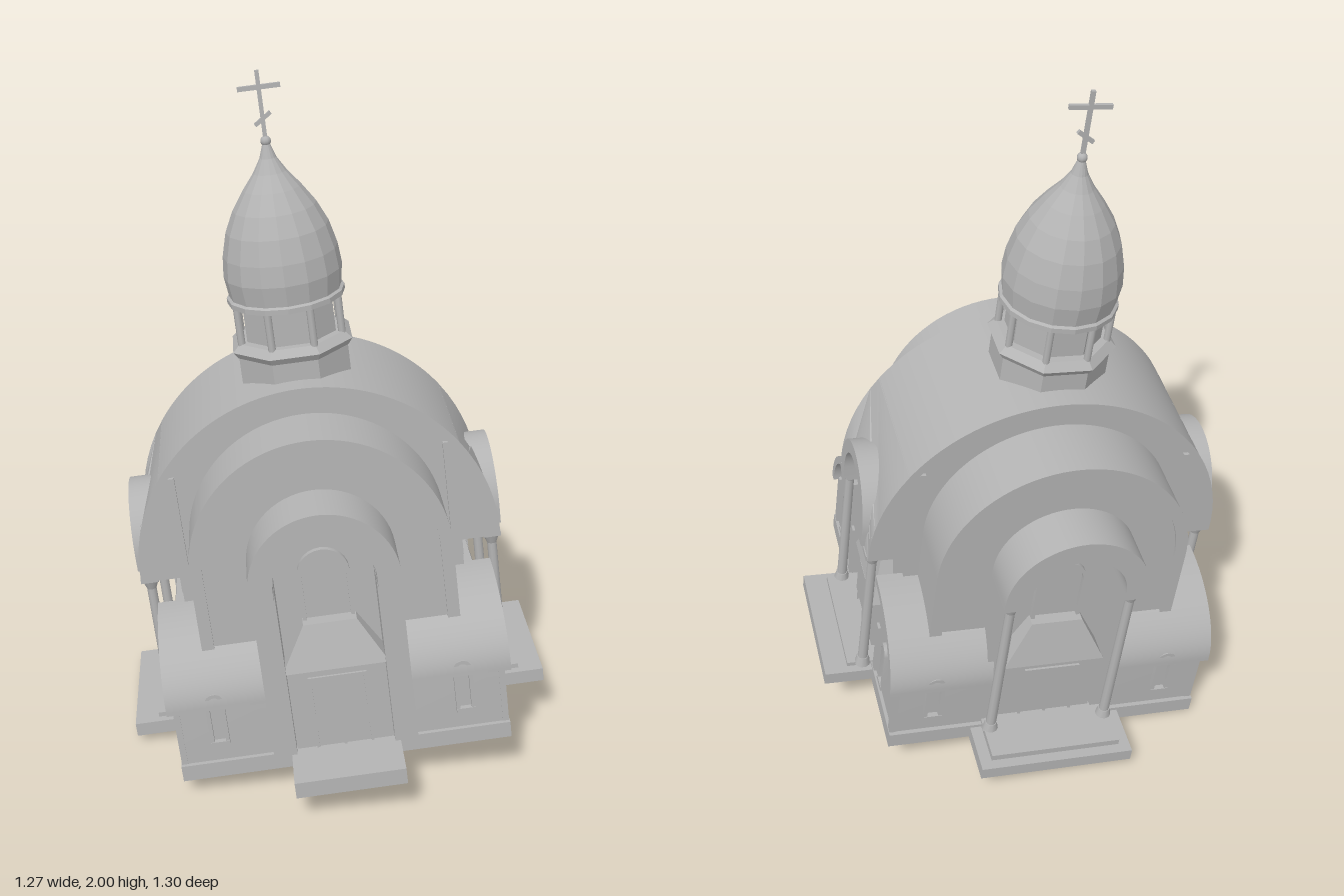
import * as THREE from 'three';
import { toCreasedNormals } from 'three/addons/utils/BufferGeometryUtils.js';

const stone = new THREE.MeshStandardMaterial({ color: 0xb3b3b3 });
stone.name = 'stone grey';

function add(parent, name, geometry, x = 0, y = 0, z = 0) {
  const mesh = new THREE.Mesh(geometry, stone);
  mesh.name = name;
  mesh.position.set(x, y, z);
  parent.add(mesh);
  return mesh;
}
// Box given by its lower and upper limits
function block(parent, name, x0, x1, y0, y1, z0, z1) {
  return add(parent, name, new THREE.BoxGeometry(x1 - x0, y1 - y0, z1 - z0),
    (x0 + x1) / 2, (y0 + y1) / 2, (z0 + z1) / 2);
}
function extrude(shape, z0, z1, segments = 16) {
  const g = new THREE.ExtrudeGeometry(shape, { depth: z1 - z0, bevelEnabled: false, curveSegments: segments });
  g.translate(0, 0, z0);
  return toCreasedNormals(g, 0.45);
}
// Round-headed wall outline: radius r, springing at yc, foot at y0
function archShape(r, yc, y0) {
  const s = new THREE.Shape();
  s.moveTo(-r, y0);
  s.lineTo(r, y0);
  s.lineTo(r, yc);
  s.absarc(0, yc, r, 0, Math.PI, false);
  s.closePath();
  return s;
}
// Horseshoe band with open foot
function bandShape(r, ri, yc, y0) {
  const s = new THREE.Shape();
  s.moveTo(ri, y0);
  s.lineTo(r, y0);
  s.lineTo(r, yc);
  s.absarc(0, yc, r, 0, Math.PI, false);
  s.lineTo(-r, y0);
  s.lineTo(-ri, y0);
  s.lineTo(-ri, yc);
  s.absarc(0, yc, ri, Math.PI, 0, true);
  s.closePath();
  return s;
}
// Narrow arched window facing +z: frame, sill and pane
function archWindow(parent, x, y, z, w, h) {
  const g = new THREE.Group();
  g.name = 'archedWindow';
  g.position.set(x, y, z);
  add(g, 'windowFrame', extrude(bandShape(w / 2, w / 2 - 0.011, h - w / 2, 0), -0.005, 0.016, 6));
  add(g, 'windowPane', extrude(archShape(w / 2 - 0.01, h - w / 2, 0), -0.004, 0.002, 6));
  block(g, 'windowSill', -w / 2, w / 2, -0.008, 0.006, -0.005, 0.018);
  parent.add(g);
}
function column(parent, x, z, y0, y1) {
  const h = y1 - y0;
  add(parent, 'columnShaft', new THREE.CylinderGeometry(0.014, 0.016, h, 10), x, y0 + h / 2, z);
  add(parent, 'columnCapital', new THREE.CylinderGeometry(0.026, 0.015, 0.03, 10), x, y1 - 0.025, z);
  block(parent, 'columnAbacus', x - 0.026, x + 0.026, y1 - 0.012, y1 + 0.004, z - 0.026, z + 0.026);
  add(parent, 'columnBase', new THREE.CylinderGeometry(0.018, 0.025, 0.03, 10), x, y0 + 0.015, z);
}
// Vestibule with door and sloping canopy on a wall at z = wall, plus the window above
function entrance(parent, wall, half, depth, y0, y1) {
  block(parent, 'vestibule', -half + 0.012, half - 0.012, 0.04, y0, wall - 0.02, wall + depth - 0.012);
  const canopy = new THREE.CylinderGeometry(half * 0.5 * Math.SQRT2, half * Math.SQRT2, y1 - y0, 4).toNonIndexed();
  canopy.rotateY(Math.PI / 4);
  canopy.scale(1, 1, depth / half);
  canopy.computeVertexNormals();
  add(parent, 'doorCanopy', canopy, 0, (y0 + y1) / 2, wall);
  const f = wall + depth - 0.012;
  for (const s of [-1, 0, 1]) block(parent, 'doorJamb', s * 0.08 - 0.004, s * 0.08 + 0.004, 0.05, y0 - 0.03, f, f + 0.007);
  block(parent, 'doorLintel', -0.085, 0.085, y0 - 0.035, y0 - 0.025, f, f + 0.007);
  archWindow(parent, 0, y1 - 0.02, wall, 0.15, 0.24);
}

export function createModel() {
  const root = new THREE.Group();
  root.name = 'chapel';
  const body = new THREE.Group();
  body.name = 'leaningChapel';
  body.rotation.set(-0.055, 0.028, 0.112);
  body.position.set(0.005, 0.078, 0);
  root.add(body);

  // Plinth and entrance platforms
  block(body, 'plinth', -0.485, 0.485, 0, 0.05, -0.485, 0.485);
  block(body, 'frontPlatform', -0.16, 0.16, 0, 0.05, 0.4, 0.642);
  block(body, 'backPlatform', -0.235, 0.235, 0, 0.04, -0.645, -0.4);
  block(body, 'backStep', -0.2, 0.2, 0.03, 0.06, -0.615, -0.4);

  // Main nave vault: core, front and back rims
  const R = 0.535, yc = 0.54, inner = 0.42;
  const a = Math.acos(inner / 0.52);
  const core = new THREE.Shape();
  core.moveTo(-inner, 0.03);
  core.lineTo(inner, 0.03);
  core.absarc(0, yc, 0.52, a, Math.PI - a, false);
  core.closePath();
  add(body, 'naveCore', extrude(core, -0.215, 0.215, 24));
  const shell = new THREE.Shape();
  const b = 0.61;
  shell.absarc(0, yc, R, b, Math.PI - b, false);
  shell.absarc(0, yc, 0.512, Math.PI - b, b, true);
  shell.closePath();
  add(body, 'naveVault', extrude(shell, -0.226, 0.226, 24));

  // Second tier vault
  add(body, 'innerWall', extrude(archShape(0.35, 0.617, 0.03), -0.4, 0.4, 20));
  add(body, 'innerVault', extrude(bandShape(0.376, 0.34, 0.617, 0.03), -0.408, 0.408, 20));

  // Front and back porch hoods
  add(body, 'frontHood', extrude(bandShape(0.213, 0.145, 0.627, 0.59), 0.36, 0.56));
  add(body, 'backHood', extrude(bandShape(0.213, 0.145, 0.627, 0.6), -0.545, -0.36));
  for (const s of [-1, 1]) {
    block(body, 'frontPier', s * 0.178 - 0.034, s * 0.178 + 0.034, 0.04, 0.6, 0.38, 0.5);
    block(body, 'backPier', s * 0.178 - 0.03, s * 0.178 + 0.03, 0.04, 0.61, -0.47, -0.38);
    column(body, s * 0.18, -0.505, 0.055, 0.6);
  }
  const front = new THREE.Group();
  front.name = 'frontEntrance';
  entrance(front, 0.4, 0.155, 0.085, 0.31, 0.44);
  const back = new THREE.Group();
  back.name = 'backEntrance';
  back.rotation.y = Math.PI;
  entrance(back, 0.4, 0.155, 0.075, 0.28, 0.42);
  body.add(front, back);

  // Side portals, built facing +z and turned to both sides
  for (const s of [-1, 1]) {
    const side = new THREE.Group();
    side.name = s > 0 ? 'leftPortal' : 'rightPortal';
    side.rotation.y = s * Math.PI / 2;
    // Lower vault flank, bent to the vault curve, with the arch cut out
    const flank = new THREE.Shape();
    const w = 0.226, top = 0.85, n = 8;
    flank.moveTo(0.13, 0.53);
    for (let i = 0; i <= n; i++) flank.lineTo(w, 0.53 + (top - 0.53) * i / n);
    for (let i = n; i >= 0; i--) flank.lineTo(-w, 0.53 + (top - 0.53) * i / n);
    flank.lineTo(-0.13, 0.53);
    flank.lineTo(-0.13, 0.59);
    flank.absarc(0, 0.59, 0.13, Math.PI, 0, true);
    flank.closePath();
    const g = new THREE.ExtrudeGeometry(flank, { depth: 1, bevelEnabled: false, curveSegments: 14 });
    const p = g.attributes.position;
    for (let i = 0; i < p.count; i++) {
      const dy = Math.max(p.getY(i) - yc, 0);
      p.setZ(i, p.getZ(i) < 0.5 ? inner - 0.03 : Math.sqrt(R * R - dy * dy));
    }
    add(side, 'vaultFlank', toCreasedNormals(g, 0.45));
    add(side, 'portalHood', extrude(bandShape(0.17, 0.128, 0.587, 0.54), 0.4, 0.546));
    for (const t of [-1, 1]) column(side, t * 0.185, 0.512, 0.05, 0.53);
    entrance(side, inner, 0.14, 0.065, 0.25, 0.41);
    block(side, 'sidePlatform', -0.215, 0.215, 0, 0.042, 0.4, 0.632);
    block(side, 'sideStep', -0.19, 0.19, 0.03, 0.056, 0.4, 0.56);
    body.add(side);
  }

  // Four corner chapels with quarter vaults
  for (const sx of [-1, 1]) for (const sz of [-1, 1]) {
    const corner = new THREE.Group();
    corner.name = 'cornerChapel';
    // Profile runs in z and is extruded along x
    const wall = new THREE.Shape();
    wall.moveTo(0.2, 0.03);
    wall.lineTo(0.472, 0.03);
    wall.lineTo(0.472, 0.24);
    wall.absellipse(0.2, 0.24, 0.272, 0.185, 0, Math.PI / 2, false, 0);
    wall.closePath();
    const roof = new THREE.Shape();
    roof.moveTo(0.465, 0.23);
    roof.lineTo(0.49, 0.23);
    roof.absellipse(0.2, 0.24, 0.29, 0.203, 0, Math.PI / 2, false, 0);
    roof.absellipse(0.2, 0.24, 0.265, 0.178, Math.PI / 2, 0, true, 0);
    roof.closePath();
    for (const [name, shape, end] of [['cornerWall', wall, 0.475], ['cornerRoof', roof, 0.5]]) {
      const flip = sz < 0;
      const pts = shape.getPoints(14).map(q => new THREE.Vector2(flip ? q.x : -q.x, q.y));
      // Turned so that shape x becomes -z and depth becomes x
      const geo = extrude(new THREE.Shape(pts), sx > 0 ? 0.19 : -end, sx > 0 ? end : -0.19);
      geo.rotateY(Math.PI / 2);
      add(corner, name, geo);
    }
    for (const t of [0.215, 0.462]) {
      block(corner, 'cornerPilaster', sx * 0.474 - 0.009, sx * 0.474 + 0.009, 0.04, 0.24,
        sz * t - 0.012, sz * t + 0.012);
    }
    const ends = new THREE.Group();
    ends.name = 'sideWindow';
    ends.rotation.y = sx * Math.PI / 2;
    archWindow(ends, -sx * sz * 0.33, 0.115, 0.475, 0.055, 0.165);
    const faces = new THREE.Group();
    faces.name = 'faceWindow';
    faces.rotation.y = sz > 0 ? 0 : Math.PI;
    archWindow(faces, sx * sz * 0.36, 0.115, 0.472, 0.055, 0.165);
    corner.add(ends, faces);
    body.add(corner);
  }

  // Octagonal tower base, cornice and open drum
  const facet = g => { const f = g.toNonIndexed(); f.computeVertexNormals(); return f; };
  const turn = Math.PI / 8;
  const octagon = (name, rt, rb, y0, y1) =>
    add(body, name, facet(new THREE.CylinderGeometry(rt, rb, y1 - y0, 8)), 0, (y0 + y1) / 2, 0).rotation.y = turn;
  octagon('towerBase', 0.172, 0.172, 0.98, 1.13);
  octagon('towerCornice', 0.188, 0.174, 1.13, 1.15);
  octagon('towerSlope', 0.165, 0.188, 1.15, 1.172);
  octagon('drum', 0.14, 0.14, 1.16, 1.3);
  for (let i = 0; i < 8; i++) {
    const t = i * Math.PI / 4 + turn;
    add(body, 'drumColumn', new THREE.CylinderGeometry(0.011, 0.011, 0.125, 8),
      0.158 * Math.cos(t), 1.23, 0.158 * Math.sin(t));
  }

  // Onion dome
  const profile = [[0, 1.28], [0.172, 1.28], [0.172, 1.295], [0.164, 1.3], [0.172, 1.36], [0.166, 1.42],
    [0.148, 1.49], [0.12, 1.55], [0.083, 1.605], [0.048, 1.65], [0.024, 1.69], [0.009, 1.735]];
  add(body, 'onionDome', facet(new THREE.LatheGeometry(profile.map(q => new THREE.Vector2(...q)), 16)));
  add(body, 'finialBall', new THREE.SphereGeometry(0.015, 10, 8), 0, 1.737, 0);

  // Cross with a slanted lower bar
  block(body, 'crossPost', -0.006, 0.006, 1.735, 1.935, -0.005, 0.005);
  block(body, 'crossBar', -0.06, 0.06, 1.882, 1.895, -0.005, 0.005);
  block(body, 'crossFootBar', -0.028, 0.028, 1.794, 1.805, -0.005, 0.005).rotation.z = 0.6;
  return root;
}
